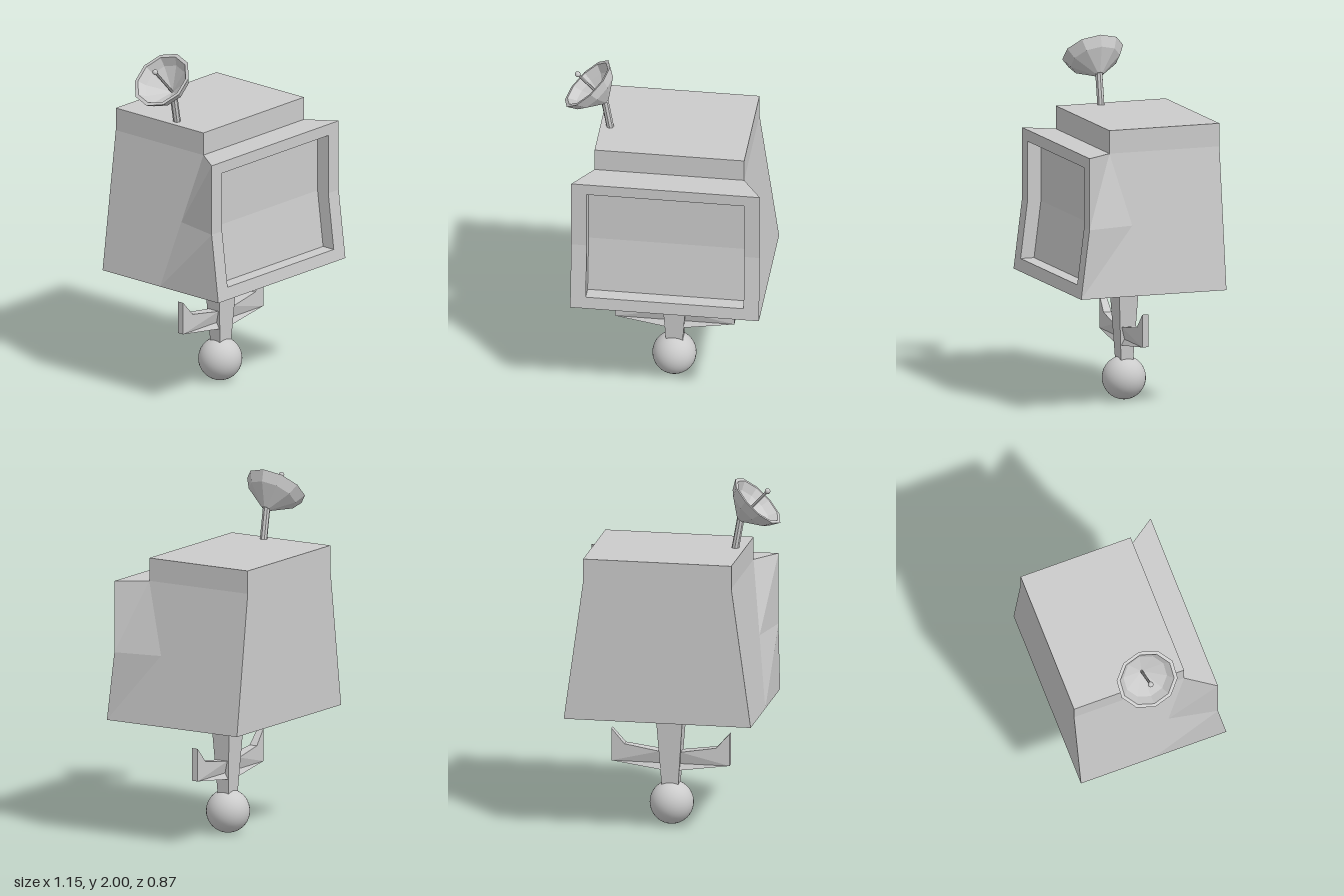
import * as THREE from 'three';

const CX = 0.045; // centre line of cabinet and stand
const CZ = -0.022; // depth of stand and antenna
const grey = new THREE.MeshStandardMaterial({ color: 0xcccccc, flatShading: true });
const smooth = new THREE.MeshStandardMaterial({ color: 0xcccccc });

function add(parent, name, geometry, material = grey) {
  const mesh = new THREE.Mesh(geometry, material);
  mesh.name = name;
  parent.add(mesh);
  return mesh;
}

// Collects four-cornered faces, wound counter-clockwise from outside
function faceSet() {
  const pos = [];
  const quad = (a, b, c, d) => pos.push(...a, ...b, ...c, ...a, ...c, ...d);
  return {
    quad,
    // the same face on both sides of the centre line; corners are [half width, y, z]
    pair(a, b, c, d) {
      const at = (s, p) => [CX + s * p[0], p[1], p[2]];
      quad(at(1, a), at(1, b), at(1, c), at(1, d));
      quad(at(-1, d), at(-1, c), at(-1, b), at(-1, a));
    },
    // a face spanning from side to side, from edge p to edge q
    span(p, q) {
      quad([CX - p[0], p[1], p[2]], [CX + p[0], p[1], p[2]], [CX + q[0], q[1], q[2]], [CX - q[0], q[1], q[2]]);
    },
    build() {
      const g = new THREE.BufferGeometry();
      g.setAttribute('position', new THREE.Float32BufferAttribute(pos, 3));
      g.computeVertexNormals();
      return g;
    },
  };
}

function cabinetGeometry() {
  const f = faceSet();
  // cross-sections [half width, y, z], each from back over the fold to the front
  const levels = [
    [[0.53, 0.68, -0.43], [0.53, 0.68, 0], [0.53, 0.68, 0.435]],
    [[0.476, 1.07, -0.43], [0.476, 1.07, 0.11], [0.53, 1.07, 0.385]],
    [[0.42, 1.475, -0.43], [0.42, 1.475, 0.225], [0.53, 1.475, 0.385]],
    [[0.42, 1.605, -0.43], [0.42, 1.605, 0.225]],
  ];
  for (let i = 0; i < 3; i++) {
    const lo = levels[i], hi = levels[i + 1];
    for (let j = 0; j < hi.length - 1; j++) f.pair(lo[j + 1], lo[j], hi[j], hi[j + 1]);
    f.span(hi[0], lo[0]); // back
  }
  f.span(levels[0][0], levels[0][2]); // underside
  f.span(levels[2][2], levels[2][1]); // ledge above the frame
  f.span(levels[2][1], levels[3][1]); // front of the raised top
  f.span(levels[3][1], levels[3][0]); // roof

  // bent front frame, recess walls and screen
  const frontZ = y => 0.385 + 0.05 * Math.max(0, (1.07 - y) / 0.39);
  const rows = [0.68, 0.75, 1.07, 1.41, 1.475];
  const out = 0.53, open = 0.443, depth = 0.08;
  const at = (h, y, d = 0) => [h, y, frontZ(y) - d];
  for (let i = 0; i < 4; i++) {
    const a = rows[i], b = rows[i + 1];
    f.pair(at(open, a), at(out, a), at(out, b), at(open, b));
    if (i === 0 || i === 3) {
      f.span(at(open, a), at(open, b));
    } else {
      f.pair(at(open, a, depth), at(open, a), at(open, b), at(open, b, depth));
      f.span(at(open, a, depth), at(open, b, depth));
    }
  }
  f.span(at(open, 0.75), at(open, 0.75, depth));
  f.span(at(open, 1.41, depth), at(open, 1.41));
  return f.build();
}

// Arms: flat outline, thinning towards the tips
function armsGeometry() {
  const half = [[0.06, 0.42], [0.26, 0.45], [0.335, 0.535], [0.335, 0.35], [0.05, 0.315]];
  const outline = [...half, ...half.map(([x, y]) => [-x, y]).reverse()];
  const shape = new THREE.Shape(outline.map(([x, y]) => new THREE.Vector2(x, y)));
  const g = new THREE.ExtrudeGeometry(shape, { depth: 2, bevelEnabled: false });
  const p = g.attributes.position;
  for (let i = 0; i < p.count; i++) {
    const t = Math.max(0, (Math.abs(p.getX(i)) - 0.05) / 0.285);
    p.setZ(i, (p.getZ(i) - 1) * (0.038 - 0.019 * t));
  }
  g.computeVertexNormals();
  return g;
}

// Stem: box widening towards the top
function stemGeometry() {
  const g = new THREE.BoxGeometry(1, 0.46, 1);
  const p = g.attributes.position;
  for (let i = 0; i < p.count; i++) {
    const top = p.getY(i) > 0;
    p.setX(i, p.getX(i) * (top ? 0.16 : 0.094));
    p.setZ(i, p.getZ(i) * (top ? 0.122 : 0.072));
  }
  g.computeVertexNormals();
  return g;
}

export function createModel() {
  const model = new THREE.Group();
  model.name = 'screenOnBallStand';

  add(model, 'cabinet', cabinetGeometry());

  const stand = new THREE.Group();
  stand.name = 'stand';
  stand.position.set(CX, 0, CZ);
  model.add(stand);
  add(stand, 'stem', stemGeometry()).position.y = 0.455;
  add(stand, 'arms', armsGeometry());
  add(stand, 'ball', new THREE.SphereGeometry(0.123, 32, 20), smooth).position.set(-0.004, 0.124, 0);

  // Antenna pole leaning outwards
  const foot = new THREE.Vector3(-0.318, 1.595, CZ), head = new THREE.Vector3(-0.352, 1.785, CZ);
  const lean = head.clone().sub(foot);
  const up = new THREE.Vector3(0, 1, 0);
  const pole = add(model, 'antennaPole', new THREE.CylinderGeometry(0.021, 0.021, lean.length(), 8));
  pole.position.copy(foot).add(head).multiplyScalar(0.5);
  pole.quaternion.setFromUnitVectors(up, lean.normalize());

  // Dish: local y is its axis, the rim plane is y = 0
  const dish = new THREE.Group();
  dish.name = 'dishAntenna';
  dish.position.set(-0.447, 1.88, CZ);
  dish.rotation.z = Math.atan2(0.69, 0.73);
  model.add(dish);
  const profile = [[0, -0.15], [0.025, -0.148], [0.142, -0.058], [0.175, 0], [0.155, 0], [0.125, -0.045], [0, -0.13]];
  const bowl = new THREE.LatheGeometry(profile.map(([r, y]) => new THREE.Vector2(r, y)), 10, Math.PI / 2);
  add(dish, 'dishBowl', bowl);
  add(dish, 'feedRod', new THREE.CylinderGeometry(0.008, 0.008, 0.22, 8)).position.y = -0.03;
  add(dish, 'feedTip', new THREE.SphereGeometry(0.016, 12, 8), smooth).position.y = 0.08;

  return model;
}
